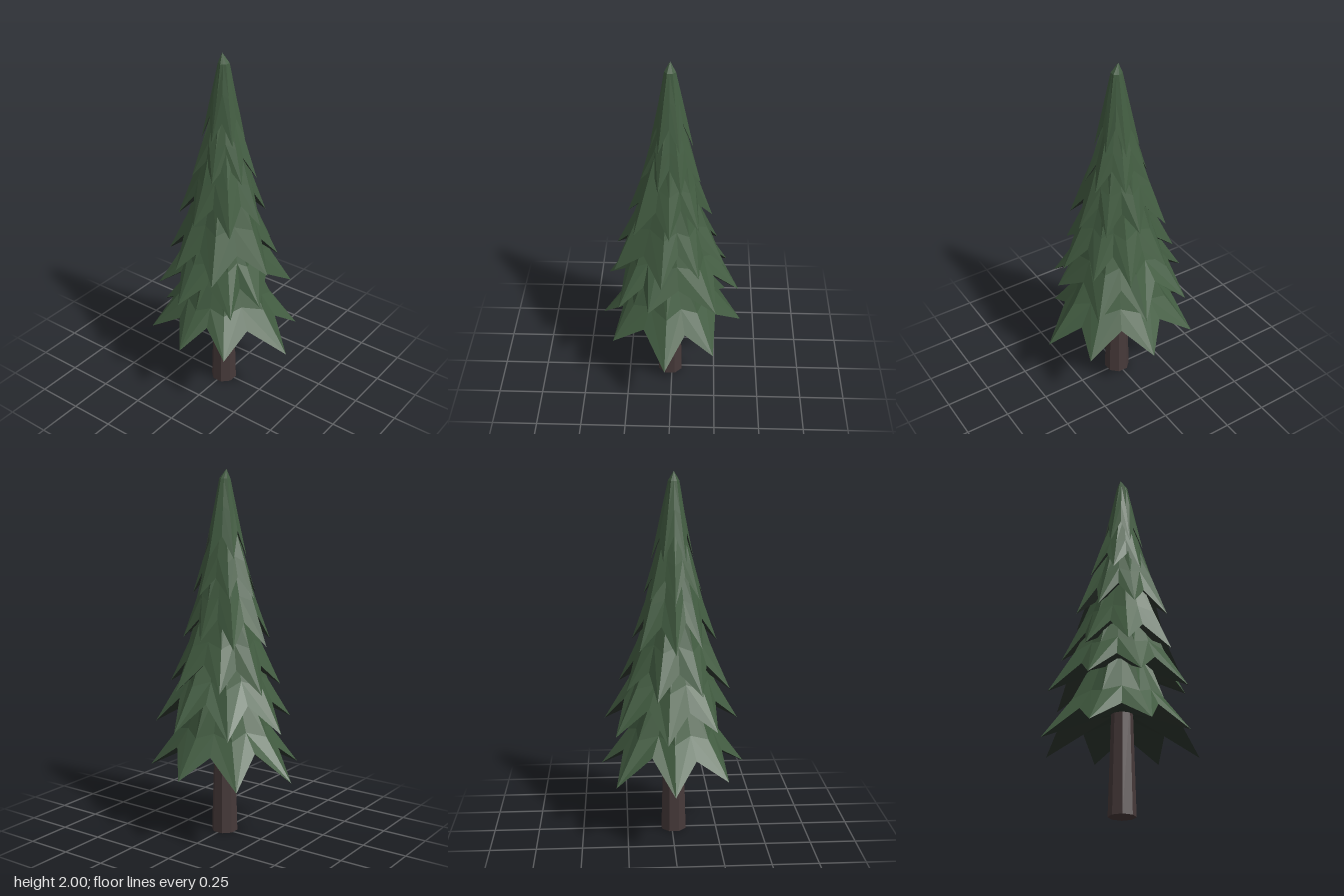
import * as THREE from 'three';

const needleGreen = new THREE.MeshStandardMaterial({ name: 'needleGreen', color: 0x425c41, flatShading: true });
const shadedNeedles = new THREE.MeshStandardMaterial({ name: 'shadedNeedles', color: 0x2c352d, flatShading: true });
const barkBrown = new THREE.MeshStandardMaterial({ name: 'barkBrown', color: 0x463939, flatShading: true });

const CX = -0.01; // the tree leans very slightly off centre

// y: height of the branch tips, tips: [x, z] counter-clockwise from above,
// valley: rise of the notches, mid / top: [rise, share of the tip radius]
const tiers = [
  { y: 0.38, valley: 0.13, mid: [0.21, 0.63], top: [0.47, 0.36],
    tips: [[0.393, 0.015], [0.31, -0.3], [0.003, -0.443], [-0.29, -0.3], [-0.397, -0.015], [-0.325, 0.235], [-0.03, 0.443], [0.235, 0.33]] },
  { y: 0.65, valley: 0.13, mid: [0.22, 0.65], top: [0.48, 0.38],
    tips: [[0.372, 0.055], [0.31, -0.245], [0.04, -0.4], [-0.23, -0.287], [-0.357, -0.05], [-0.285, 0.25], [-0.12, 0.32], [0.245, 0.28]] },
  { y: 0.845, valley: 0.13, mid: [0.23, 0.66], top: [0.48, 0.38],
    tips: [[0.29, 0.105], [0.25, -0.15], [0.09, -0.31], [-0.15, -0.27], [-0.31, -0.1], [-0.31, 0.145], [-0.05, 0.32], [0.15, 0.25]] },
  { y: 1.095, valley: 0.13, mid: [0.22, 0.68], top: [0.42, 0.42],
    tips: [[0.215, 0], [0.18, -0.19], [-0.01, -0.27], [-0.15, -0.2], [-0.24, -0.03], [-0.2, 0.18], [-0.01, 0.24], [0.145, 0.165]] },
  { y: 1.34, valley: 0.11, mid: [0.18, 0.68], top: [0.38, 0.33],
    tips: [[0.15, 0.05], [0.12, -0.12], [-0.01, -0.19], [-0.14, -0.11], [-0.165, 0.04], [-0.07, 0.16], [0.05, 0.17]] },
  { y: 1.54, valley: 0.13, mid: [0.24, 0.56], top: [0.41, 0.26],
    tips: [[0.11, 0.02], [0.05, -0.1], [-0.07, -0.1], [-0.115, 0], [-0.07, 0.1], [0.04, 0.1]] },
];

// Skin a stack of rings (listed from the underside outwards and up) with triangles
function skinRings(rings) {
  const pos = [];
  const n = rings[0].length;
  for (let r = 0; r < rings.length - 1; r++) {
    for (let i = 0; i < n; i++) {
      const j = (i + 1) % n;
      const [a, b, c, d] = [rings[r][i], rings[r][j], rings[r + 1][j], rings[r + 1][i]];
      // keep the fold on the ridge so both flanks mirror each other
      const tris = i % 2 ? [a, b, d, b, c, d] : [a, b, c, a, c, d];
      tris.forEach((p) => pos.push(p.x, p.y, p.z));
    }
  }
  const geo = new THREE.BufferGeometry();
  geo.setAttribute('position', new THREE.Float32BufferAttribute(pos, 3));
  geo.computeVertexNormals();
  // the first band is the shaded underside
  geo.addGroup(0, n * 6, 1);
  geo.addGroup(n * 6, pos.length / 3 - n * 6, 0);
  return geo;
}

// A star-shaped skirt of branches; longer branches droop lower
function tierGeometry({ y, valley, mid, top, tips }, index) {
  const polar = tips.map(([x, z]) => ({ a: Math.atan2(-z, x - CX), r: Math.hypot(x - CX, z) }));
  const mean = polar.reduce((s, p) => s + p.r, 0) / polar.length;
  const spokes = [];
  polar.forEach((p, i) => {
    const q = polar[(i + 1) % polar.length];
    const gap = (q.a - p.a + Math.PI * 4) % (Math.PI * 2);
    spokes.push({ a: p.a, r: p.r, y: y - 0.7 * (p.r - mean), tip: true });
    spokes.push({ a: p.a + gap / 2, r: 0.355 * (p.r + q.r), y: y + valley + 0.015 * Math.sin(i * 1.9 + index), tip: false });
  });
  const at = (a, r, h) => new THREE.Vector3(CX + r * Math.cos(a), h, -r * Math.sin(a));
  const last = index === tiers.length - 1;
  return skinRings([
    spokes.map((s) => at(s.a, Math.min(0.06, mean * 0.4), y + valley + 0.03)),
    spokes.map((s) => at(s.a, s.r, s.y)),
    spokes.map((s) => (s.tip
      ? at(s.a, s.r * mid[1], y + mid[0])
      : at(s.a, mean * mid[1] * 0.85, y + mid[0] + 0.03))),
    spokes.map((s) => at(s.a, mean * top[1] * (s.tip ? 1 : 0.88), y + top[0])),
    spokes.map(() => new THREE.Vector3(CX, last ? 2 : y + top[0] + 0.06, last ? -0.01 : 0)),
  ]);
}

export function createModel() {
  const tree = new THREE.Group();
  tree.name = 'pineTree';

  // Tapered eight-sided trunk
  const trunkGeo = new THREE.CylinderGeometry(0.056, 0.073, 0.6, 8);
  trunkGeo.rotateY(Math.PI / 8);
  const trunk = new THREE.Mesh(trunkGeo, barkBrown);
  trunk.name = 'trunk';
  trunk.position.set(CX, 0.3, 0);
  tree.add(trunk);

  // Overlapping branch tiers with darker undersides
  tiers.forEach((tier, i) => {
    const mesh = new THREE.Mesh(tierGeometry(tier, i), [needleGreen, shadedNeedles]);
    mesh.name = `branchTier${i + 1}`;
    tree.add(mesh);
  });
  return tree;
}
